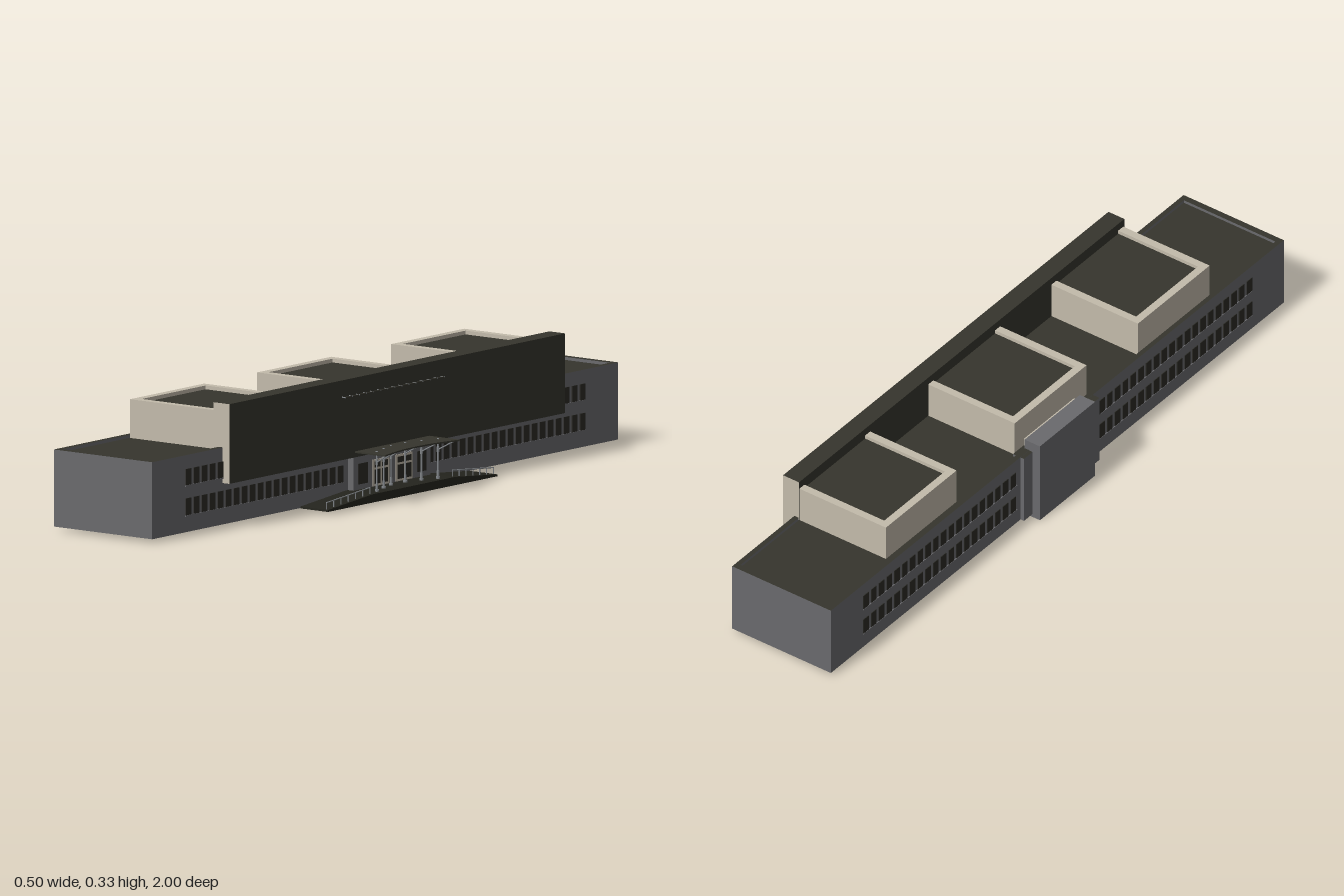
import * as THREE from 'three';

const mat = (name, color, double) => {
  const m = new THREE.MeshStandardMaterial({ color });
  m.name = name;
  if (double) m.side = THREE.DoubleSide;
  return m;
};

export function createModel() {
  const grey = mat('wallGrey', 0x6a6a6d);
  const dark = mat('roofDark', 0x36352d);
  const tan = mat('tanStone', 0xc3bbab);
  const glass = mat('windowGlass', 0x2b2a25);
  const steel = mat('steel', 0x84888c);
  const base = mat('platformDark', 0x24241d);

  const root = new THREE.Group();
  root.name = 'longBuilding';
  const group = (name) => {
    const g = new THREE.Group();
    g.name = name;
    root.add(g);
    return g;
  };
  // box from its limits on each axis
  const box = (parent, name, [x0, x1], [y0, y1], [z0, z1], material) => {
    const m = new THREE.Mesh(new THREE.BoxGeometry(x1 - x0, y1 - y0, z1 - z0), material);
    m.position.set((x0 + x1) / 2, (y0 + y1) / 2, (z0 + z1) / 2);
    m.name = name;
    parent.add(m);
  };
  // round bar between two points
  const bar = (parent, name, a, b, r, material = steel) => {
    const p = new THREE.Vector3(...a), q = new THREE.Vector3(...b);
    const d = q.clone().sub(p);
    const m = new THREE.Mesh(new THREE.CylinderGeometry(r, r, d.length(), 8), material);
    m.position.copy(p).add(q).multiplyScalar(0.5);
    m.quaternion.setFromUnitVectors(new THREE.Vector3(0, 1, 0), d.normalize());
    m.name = name;
    parent.add(m);
  };
  const darkTop = (side) => [side, side, dark, side, side, side];

  // two long wings, slightly offset from each other
  for (const s of [1, -1]) {
    const g = group(s > 0 ? 'frontWing' : 'rearWing');
    const [x0, x1] = s > 0 ? [-0.205, 0.123] : [-0.215, 0.108];
    const span = (a, b) => (s > 0 ? [a, b] : [-b, -a]);
    box(g, 'wingBody', [x0, x1], [0.01, 0.207], span(0, 1), darkTop(grey));
    box(g, 'sideParapet', [x0, x0 + 0.014], [0.207, 0.215], span(0, 1), darkTop(grey));
    box(g, 'sideParapet', [x1 - 0.014, x1], [0.207, 0.215], span(0, 1), darkTop(grey));
    box(g, 'endParapet', [x0 + 0.014, x1 - 0.014], [0.207, 0.215], span(0.982, 1), darkTop(grey));

    // two rows of windows on both long walls
    for (const [y0, y1] of [[0.055, 0.1], [0.135, 0.178]]) {
      for (let i = 0; i < 20; i++) {
        const z = 0.19 + i * 0.034;
        const zs = span(z, z + 0.023);
        box(g, 'window', [x1 - 0.002, x1 + 0.002], [y0, y1], zs, glass);
        box(g, 'window', [x0 - 0.002, x0 + 0.002], [y0, y1], zs, glass);
      }
      for (const x of [x0, x1]) {
        box(g, 'windowSill', [x - 0.003, x + 0.003], [y0 - 0.004, y0], span(0.185, 0.86), grey);
      }
    }
  }

  // three rooftop blocks, each rimmed on three sides
  for (const [z0, z1] of [[-0.725, -0.415], [-0.16, 0.155], [0.38, 0.695]]) {
    const g = group('roofBlock');
    const t = 0.022;
    box(g, 'blockBody', [-0.19, 0.093], [0.207, 0.3], [z0, z1], darkTop(tan));
    box(g, 'rimBack', [-0.19, -0.19 + t], [0.3, 0.31], [z0, z1], tan);
    box(g, 'rimSide', [-0.19 + t, 0.093], [0.3, 0.31], [z0, z0 + t], tan);
    box(g, 'rimSide', [-0.19 + t, 0.093], [0.3, 0.31], [z1 - t, z1], tan);
  }

  // tall facade slab with pale ends and a thin rail across it
  const facade = group('facade');
  box(facade, 'facadeSlab', [0.093, 0.145], [0.12, 0.332], [-0.727, 0.7], [dark, dark, dark, dark, tan, tan]);
  bar(facade, 'facadeRail', [0.154, 0.287, -0.2], [0.154, 0.287, 0.22], 0.0018, dark);
  for (let i = 0; i <= 14; i++) {
    const z = -0.2 + i * 0.03;
    bar(facade, 'railBracket', [0.144, 0.287, z], [0.156, 0.287, z], 0.0018);
  }

  // stair tower at the back
  const tower = group('stairTower');
  box(tower, 'towerShoulder', [-0.226, -0.19], [0.01, 0.214], [-0.168, 0.163], darkTop(grey));
  box(tower, 'towerBody', [-0.25, -0.2], [0, 0.243], [-0.13, 0.112], grey);
  box(tower, 'towerLink', [-0.2, -0.19], [0.207, 0.235], [-0.12, 0.1], tan);

  // entrance block with glazed doors
  const entrance = group('entrance');
  box(entrance, 'entranceBlock', [0.1, 0.141], [0.01, 0.125], [-0.16, 0.168], grey);
  for (const z of [0.052, -0.046]) {
    box(entrance, 'doorFrame', [0.14, 0.143], [0.032, 0.103], [z - 0.035, z + 0.035], tan);
    for (const side of [-1, 1]) {
      const c = z + side * 0.016;
      box(entrance, 'doorPane', [0.142, 0.1445], [0.038, 0.076], [c - 0.012, c + 0.012], glass);
      box(entrance, 'transomPane', [0.142, 0.1445], [0.082, 0.097], [c - 0.012, c + 0.012], glass);
    }
  }
  for (const z of [0.128, -0.122]) {
    box(entrance, 'sideWindow', [0.14, 0.1425], [0.045, 0.1], [z - 0.02, z + 0.02], glass);
  }

  // entrance platform with a ramp at each end
  const platform = group('platform');
  const profile = new THREE.Shape([
    [-0.35, 0.009], [0.37, 0.009], [0.37, 0.014], [0.18, 0.031], [-0.17, 0.031], [-0.35, 0.014],
  ].map((p) => new THREE.Vector2(...p)));
  const slab = new THREE.ExtrudeGeometry(profile, { depth: 0.092, bevelEnabled: false });
  slab.rotateY(-Math.PI / 2).translate(0.215, 0, 0);
  const ramp = new THREE.Mesh(slab, base);
  ramp.name = 'rampedPlatform';
  platform.add(ramp);
  box(platform, 'foundationPlate', [-0.05, 0.123], [0.007, 0.011], [-0.17, 0.17], base);
  for (const [zIn, zOut] of [[0.18, 0.365], [-0.17, -0.345]]) {
    bar(platform, 'handrail', [0.206, 0.048, zIn], [0.206, 0.032, zOut], 0.0016);
    for (let i = 0; i <= 6; i++) {
      const t = i / 6, z = zIn + (zOut - zIn) * t;
      bar(platform, 'railPost', [0.206, 0.029 - 0.016 * t, z], [0.206, 0.048 - 0.016 * t, z], 0.0015);
    }
  }

  // canopy with a hollowed front edge
  const canopy = group('canopy');
  const outline = new THREE.Shape();
  outline.moveTo(0.14, -0.166);
  outline.lineTo(0.246, -0.166);
  outline.quadraticCurveTo(0.2, -0.008, 0.246, 0.15);
  outline.lineTo(0.14, 0.15);
  outline.closePath();
  const sheet = new THREE.ExtrudeGeometry(outline, { depth: 0.004, bevelEnabled: false, curveSegments: 16 });
  sheet.rotateX(-Math.PI / 2).translate(0, 0.132, 0);
  const roof = new THREE.Mesh(sheet, dark);
  roof.name = 'canopyRoof';
  canopy.add(roof);

  // columns following the curve, with struts to the canopy edge
  for (const [x, off] of [[0.165, 0.03], [0.18, 0.08], [0.196, 0.13]]) {
    for (const s of [-1, 1]) {
      const z = 0.008 + s * off;
      bar(canopy, 'column', [x, 0.03, z], [x, 0.134, z], 0.0022);
      bar(canopy, 'columnFoot', [x, 0.03, z], [x, 0.037, z], 0.0055);
      bar(canopy, 'columnSleeve', [x, 0.037, z], [x, 0.052, z], 0.0035);
      bar(canopy, 'columnCollar', [x, 0.102, z], [x, 0.116, z], 0.0035);
      bar(canopy, 'strut', [x, 0.108, z], [x + 0.042, 0.132, z + s * 0.01], 0.0018);
      bar(canopy, 'canopyStud', [x, 0.134, z], [x, 0.138, z], 0.003);
    }
  }
  return root;
}
